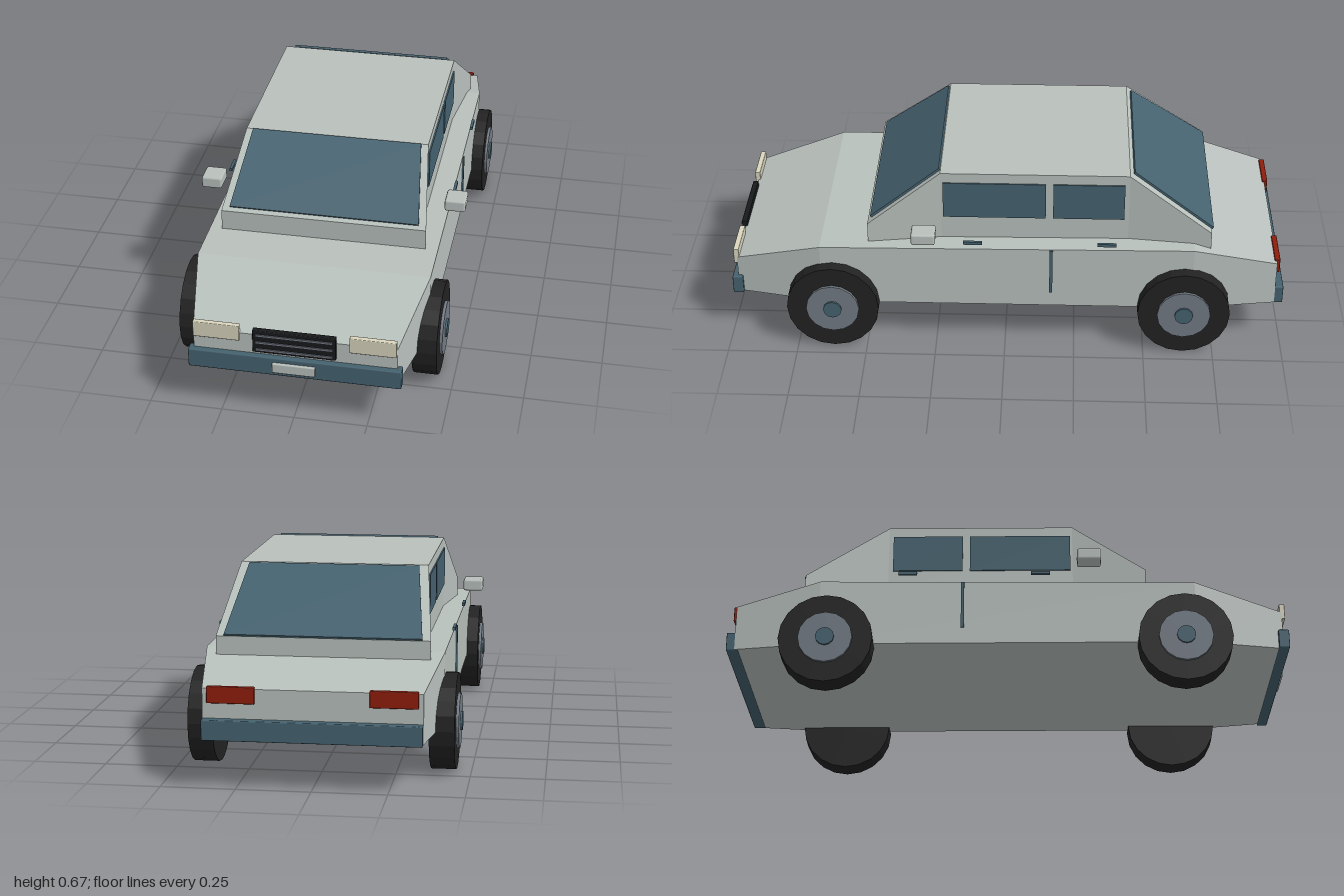
import * as THREE from 'three';
import { RoundedBoxGeometry } from 'three/addons/geometries/RoundedBoxGeometry.js';

const material = (name, color) => {
  const m = new THREE.MeshStandardMaterial({ color });
  m.name = name;
  return m;
};

// Faceted hull through rectangular cross-sections [z, halfWidth, bottom, top], front to back
function hullGeometry(sections) {
  const rings = sections.map(([z, w, b, t]) => [[-w, b, z], [w, b, z], [w, t, z], [-w, t, z]]);
  const pos = [];
  const quad = (a, b, c, d) => pos.push(...a, ...b, ...c, ...a, ...c, ...d);
  quad(...rings[0]);
  for (let s = 0; s < rings.length - 1; s++) {
    const f = rings[s], r = rings[s + 1];
    for (let i = 0; i < 4; i++) {
      const j = (i + 1) % 4;
      quad(f[i], r[i], r[j], f[j]);
    }
  }
  quad(...rings[rings.length - 1].slice().reverse());
  const g = new THREE.BufferGeometry();
  g.setAttribute('position', new THREE.Float32BufferAttribute(pos, 3));
  g.computeVertexNormals();
  return g;
}

// Thin trapezoid pane standing on its lower edge
function paneGeometry(lowerHalf, upperHalf, height) {
  const shape = new THREE.Shape([
    new THREE.Vector2(-lowerHalf, 0), new THREE.Vector2(lowerHalf, 0),
    new THREE.Vector2(upperHalf, height), new THREE.Vector2(-upperHalf, height),
  ]);
  return new THREE.ExtrudeGeometry(shape, { depth: 0.008, bevelEnabled: false });
}

// Faceted disc with its axis along x
function discGeometry(radius, width, sides) {
  const g = new THREE.CylinderGeometry(radius, radius, width, sides).rotateZ(Math.PI / 2).toNonIndexed();
  g.computeVertexNormals();
  return g;
}

export function createModel() {
  const car = new THREE.Group();
  car.name = 'car';
  const silver = material('silver paint', 0xb9c1bd);
  const teal = material('dark teal', 0x456270);
  const rubber = material('tyre rubber', 0x222222);
  const steel = material('wheel steel', 0x737b85);
  const black = material('grille black', 0x17191b);
  const cream = material('headlight cream', 0xd9d5be);
  const red = material('tail light red', 0x8f1e0c);

  const add = (name, geometry, mat, x = 0, y = 0, z = 0, parent = car) => {
    const mesh = new THREE.Mesh(geometry, mat);
    mesh.name = name;
    mesh.position.set(x, y, z);
    parent.add(mesh);
    return mesh;
  };
  // Box given by its extents on each axis, with an optional small bevel
  const block = (name, mat, [x0, x1], [y0, y1], [z0, z1], bevel = 0) => {
    const size = [x1 - x0, y1 - y0, z1 - z0];
    const g = bevel ? new RoundedBoxGeometry(...size, 1, bevel) : new THREE.BoxGeometry(...size);
    return add(name, g, mat, (x0 + x1) / 2, (y0 + y1) / 2, (z0 + z1) / 2);
  };
  const mirrored = (name, mat, [x0, x1], ys, zs, bevel) => {
    block(name + 'Left', mat, [x0, x1], ys, zs, bevel);
    block(name + 'Right', mat, [-x1, -x0], ys, zs, bevel);
  };

  // Lower body and cabin
  add('body', hullGeometry([
    [0.97, 0.345, 0.163, 0.305], [0.66, 0.406, 0.163, 0.395],
    [-0.67, 0.406, 0.163, 0.407], [-0.97, 0.362, 0.163, 0.33],
  ]), silver);
  add('cabin', hullGeometry([
    [0.49, 0.363, 0.39, 0.47], [0.23, 0.328, 0.39, 0.663],
    [-0.436, 0.328, 0.39, 0.663], [-0.73, 0.363, 0.39, 0.455],
  ]), silver);

  // Sloping windscreens
  const windscreen = add('windscreen', paneGeometry(0.335, 0.303, 0.305), teal, 0, 0.48, 0.477);
  windscreen.rotation.x = -Math.atan2(0.26, 0.193);
  const rearWindow = add('rearWindow', paneGeometry(0.335, 0.297, 0.348), teal, 0, 0.456, -0.733);
  rearWindow.rotation.set(-Math.atan2(0.294, 0.208), Math.PI, 0, 'YXZ');

  // Side windows, door seams, handles and mirrors
  mirrored('frontSideWindow', teal, [0.325, 0.333], [0.487, 0.626], [-0.142, 0.222]);
  mirrored('rearSideWindow', teal, [0.325, 0.333], [0.487, 0.626], [-0.42, -0.168]);
  mirrored('doorSeam', teal, [0.404, 0.412], [0.222, 0.4], [-0.169, -0.158]);
  mirrored('frontDoorHandle', teal, [0.41, 0.42], [0.427, 0.438], [0.08, 0.147]);
  mirrored('rearDoorHandle', teal, [0.41, 0.42], [0.427, 0.438], [-0.393, -0.326]);
  mirrored('wingMirror', silver, [0.403, 0.477], [0.457, 0.5], [0.243, 0.328], 0.008);

  // Bumpers and number plate
  block('frontBumper', teal, [-0.362, 0.362], [0.161, 0.23], [0.952, 0.99], 0.004);
  block('rearBumper', teal, [-0.362, 0.362], [0.161, 0.23], [-1, -0.957], 0.004);
  block('numberPlate', silver, [-0.073, 0.073], [0.177, 0.214], [0.985, 1], 0.004);

  // Lamps
  mirrored('headlight', cream, [0.186, 0.344], [0.28, 0.338], [0.962, 0.982], 0.003);
  mirrored('tailLight', red, [0.188, 0.346], [0.282, 0.338], [-0.982, -0.962], 0.003);

  // Grille with three bars
  block('grille', black, [-0.141, 0.141], [0.242, 0.329], [0.962, 0.982], 0.003);
  for (const y of [0.255, 0.283, 0.311]) {
    block('grilleBar', steel, [-0.13, 0.13], [y - 0.004, y + 0.004], [0.978, 0.986]);
  }

  // Wheels
  const tyre = discGeometry(0.165, 0.085, 20);
  const rim = discGeometry(0.095, 0.02, 16);
  const cap = discGeometry(0.033, 0.02, 12);
  for (const side of [1, -1]) {
    for (const z of [0.618, -0.64]) {
      const wheel = new THREE.Group();
      wheel.name = (z > 0 ? 'front' : 'rear') + 'Wheel' + (side > 0 ? 'Left' : 'Right');
      wheel.position.set(0, 0.166, z);
      add('tyre', tyre, rubber, side * 0.4065, 0, 0, wheel);
      add('rim', rim, steel, side * 0.449, 0, 0, wheel);
      add('hubCap', cap, teal, side * 0.456, 0, 0, wheel);
      car.add(wheel);
    }
  }
  return car;
}
